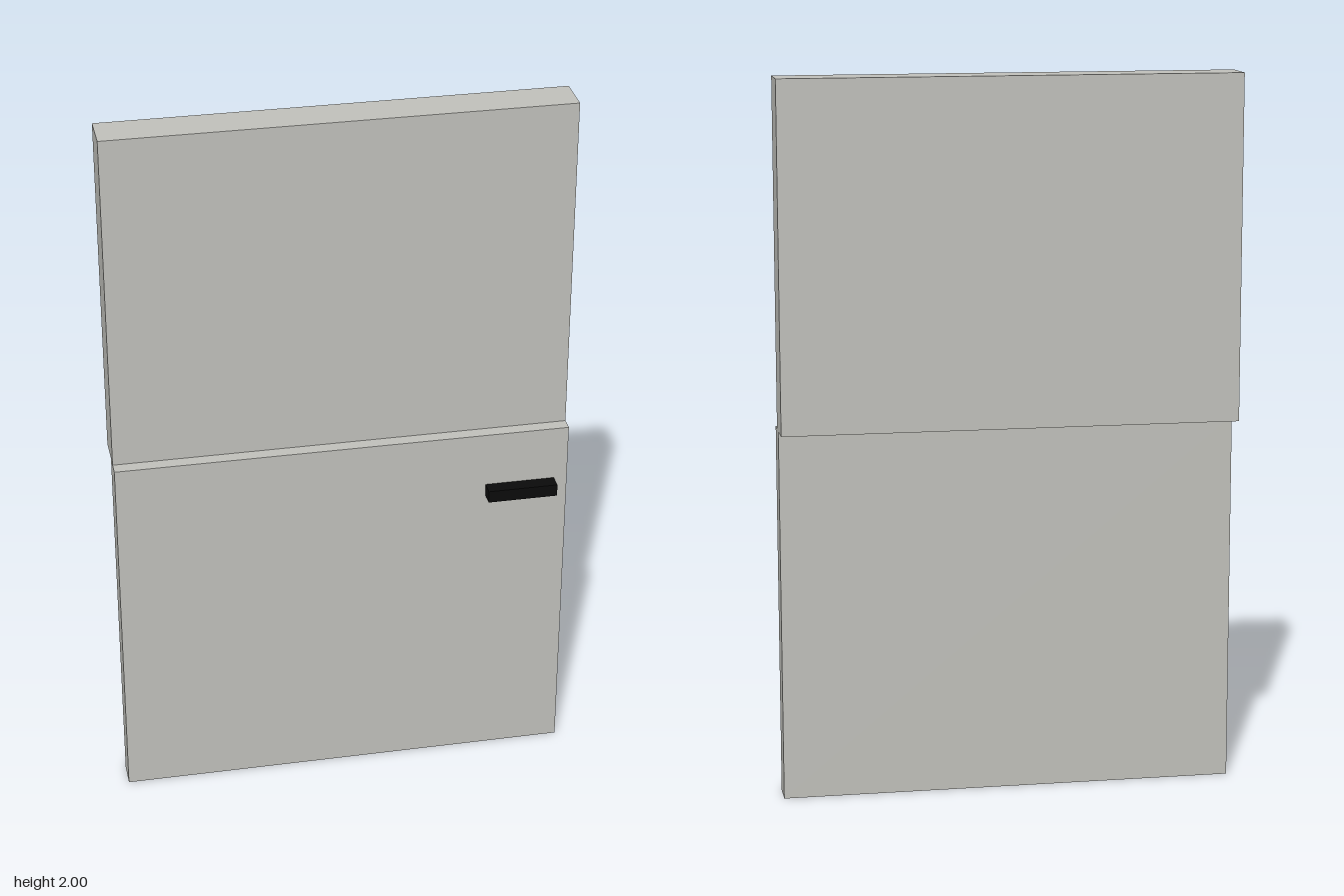
import * as THREE from 'three';

export function createModel() {
  const group = new THREE.Group();
  const panelGrey = new THREE.MeshStandardMaterial({ color: 0xc0c0bb });
  panelGrey.name = 'panelGrey';
  const handleBlack = new THREE.MeshStandardMaterial({ color: 0x0a0a0a });
  handleBlack.name = 'handleBlack';

  // Box given by its low and high corners
  const addBox = (name, material, [x0, y0, z0], [x1, y1, z1]) => {
    const mesh = new THREE.Mesh(new THREE.BoxGeometry(x1 - x0, y1 - y0, z1 - z0), material);
    mesh.position.set((x0 + x1) / 2, (y0 + y1) / 2, (z0 + z1) / 2);
    mesh.name = name;
    group.add(mesh);
  };

  const halfWidth = 0.633;
  const seam = 1.043;

  // Thin lower panel stands forward of the thicker upper panel
  addBox('lowerPanel', panelGrey, [-halfWidth, 0, -0.0175], [halfWidth, seam, 0.056]);
  addBox('upperPanel', panelGrey, [-halfWidth, seam, -0.0965], [halfWidth, 2, 0.018]);

  // Bar handle on the front of the lower panel
  addBox('handle', handleBlack, [0.4, 0.85, 0.056], [0.596, 0.885, 0.0965]);

  return group;
}
